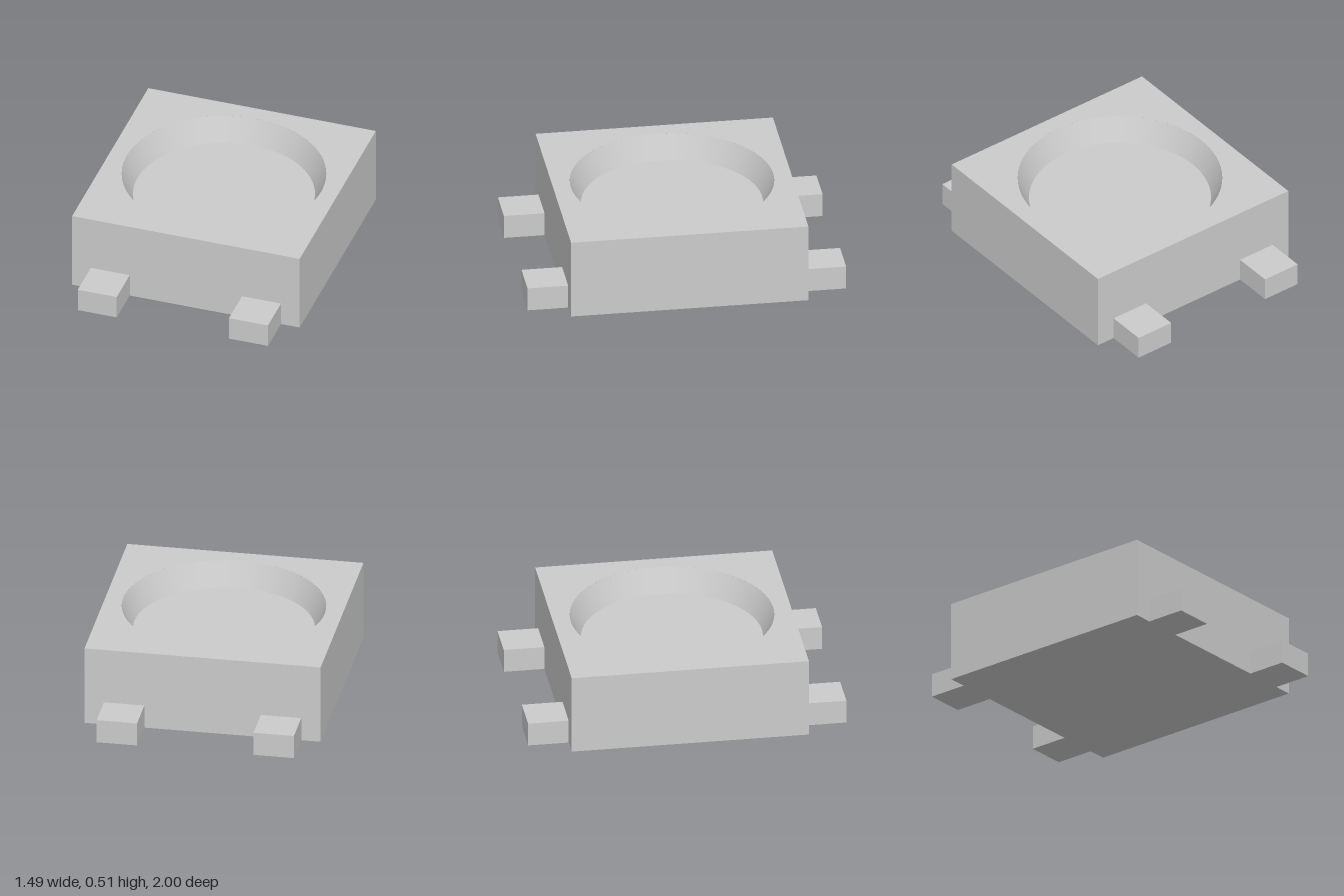
import * as THREE from 'three';

const HALF = 0.745;        // half width of the square body
const HEIGHT = 0.515;
const FLOOR = 0.362;       // height of the recess floor
const RIM_R = 0.635, FLOOR_R = 0.565;
const SEGMENTS = 96;

export function createModel() {
  const model = new THREE.Group();
  const material = new THREE.MeshStandardMaterial({ color: 0xcccccc });
  const add = (name, geometry, x = 0, y = 0, z = 0) => {
    const mesh = new THREE.Mesh(geometry, material);
    mesh.name = name;
    mesh.position.set(x, y, z);
    model.add(mesh);
  };

  // Body sides and underside: a box without its top face
  const box = new THREE.BoxGeometry(HALF * 2, HEIGHT, HALF * 2);
  const index = Array.from(box.index.array);
  index.splice(12, 6);
  box.setIndex(index);
  box.clearGroups();
  add('body', box, 0, HEIGHT / 2, 0);

  // Top face with a round opening
  const square = new THREE.Shape([
    new THREE.Vector2(-HALF, -HALF), new THREE.Vector2(HALF, -HALF),
    new THREE.Vector2(HALF, HALF), new THREE.Vector2(-HALF, HALF),
  ]);
  square.holes.push(new THREE.Path().absarc(0, 0, RIM_R, 0, Math.PI * 2, true));
  add('topFace', new THREE.ShapeGeometry(square, SEGMENTS).rotateX(-Math.PI / 2), 0, HEIGHT, 0);

  // Tapered recess wall, facing inward, and its flat floor
  const wall = [new THREE.Vector2(RIM_R, HEIGHT), new THREE.Vector2(FLOOR_R, FLOOR)];
  add('recessWall', new THREE.LatheGeometry(wall, SEGMENTS));
  add('recessFloor', new THREE.CircleGeometry(FLOOR_R, SEGMENTS).rotateX(-Math.PI / 2), 0, FLOOR, 0);

  // Four terminal blocks, two at the front and two at the back
  const depth = 1 - HALF;
  const terminal = new THREE.BoxGeometry(0.255, 0.153, depth);
  for (const sz of [1, -1]) {
    for (const sx of [1, -1]) {
      const name = (sz > 0 ? 'front' : 'back') + (sx > 0 ? 'Left' : 'Right') + 'Terminal';
      add(name, terminal, sx * 0.495, 0.0765, sz * (HALF + depth / 2));
    }
  }
  return model;
}
